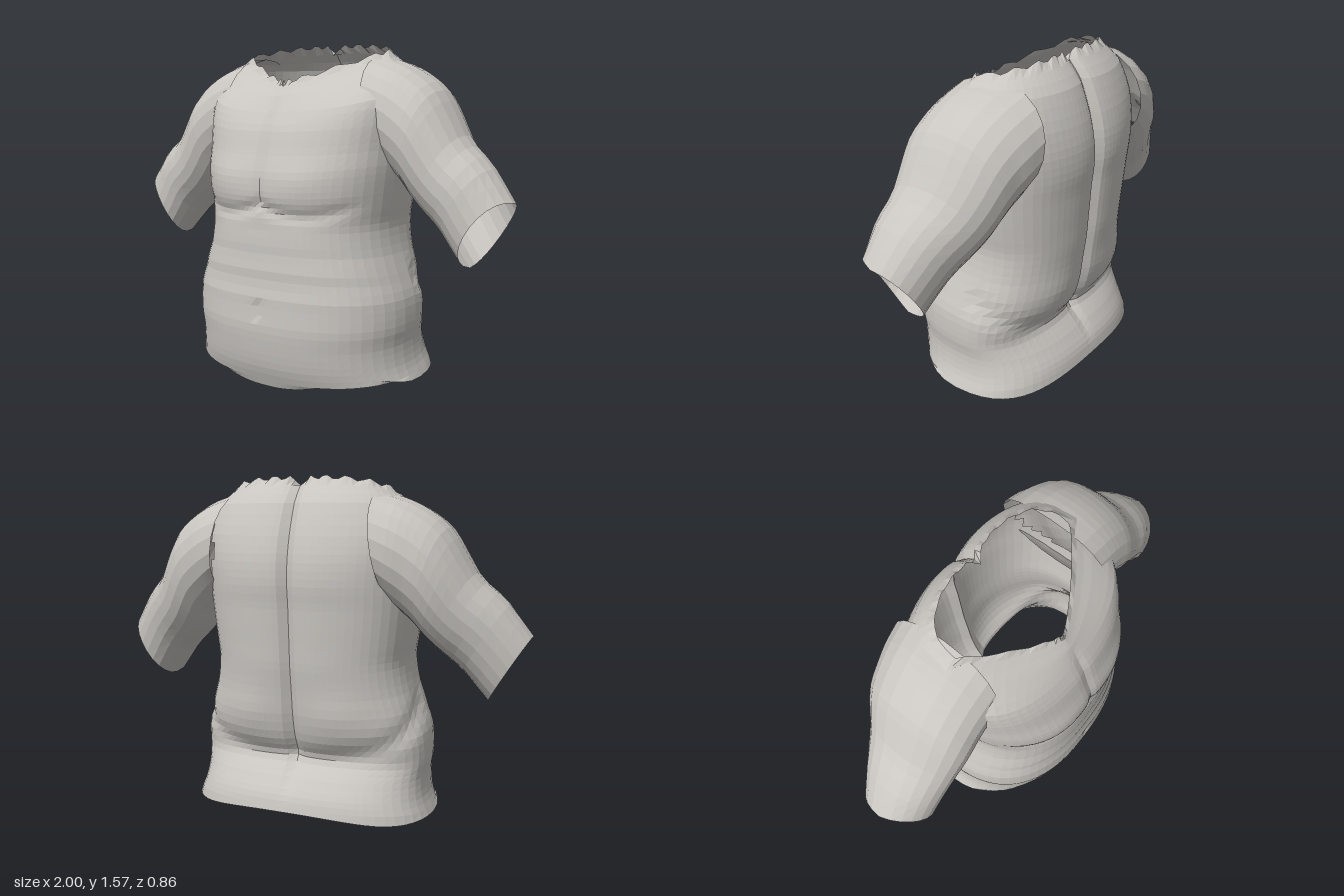
import * as THREE from 'three';

const skin = new THREE.MeshStandardMaterial({ color: 0xc9c6c1, side: THREE.DoubleSide });
skin.name = 'pale grey';

const gauss = (v, width) => Math.exp(-((v / width) ** 2));
const spow = (v, e) => Math.sign(v) * Math.abs(v) ** e;
const smooth = THREE.MathUtils.smoothstep;

// Faceted open shell from rows x columns of points; faces with inHole(centre) are left out
function loft(rows, cols, point, inHole = () => false) {
  const pts = [], idx = [];
  for (let i = 0; i <= rows; i++)
    for (let j = 0; j < cols; j++)
      pts.push(new THREE.Vector3(...point(i / rows, (j / cols) * Math.PI * 2, i, j)));
  for (let i = 0; i < rows; i++)
    for (let j = 0; j < cols; j++) {
      const k = (j + 1) % cols;
      const a = i * cols + j, b = i * cols + k, c = a + cols, d = b + cols;
      if (inHole(pts[a].clone().lerp(pts[d], 0.5))) continue;
      idx.push(a, b, d, a, d, c);
    }
  const g = new THREE.BufferGeometry().setFromPoints(pts);
  g.setIndex(idx);
  const flat = g.toNonIndexed();
  flat.computeVertexNormals();
  return flat;
}

const curve = (pts) => new THREE.CatmullRomCurve3(pts.map((p) => new THREE.Vector3(...p)));

// Torso rings: heights at front, side, back
const heights = curve([
  [0, 0.04, 0.08], [0.1, 0.12, 0.15], [0.2, 0.21, 0.22], [0.3, 0.3, 0.3],
  [0.42, 0.41, 0.38], [0.54, 0.52, 0.5], [0.65, 0.64, 0.62], [0.75, 0.75, 0.74],
  [0.82, 0.83, 0.83], [0.89, 0.91, 0.91], [0.97, 1.0, 1.0], [1.07, 1.1, 1.1],
  [1.17, 1.21, 1.2], [1.25, 1.33, 1.31], [1.32, 1.44, 1.45], [1.38, 1.51, 1.56],
]);
// Torso rings: half width, front depth, back depth
const sizes = curve([
  [0.585, 0.36, -0.43], [0.555, 0.4, -0.41], [0.545, 0.42, -0.365], [0.555, 0.43, -0.315],
  [0.55, 0.425, -0.345], [0.515, 0.415, -0.375], [0.475, 0.41, -0.39], [0.46, 0.405, -0.405],
  [0.47, 0.405, -0.41], [0.48, 0.41, -0.415], [0.49, 0.405, -0.42], [0.495, 0.375, -0.43],
  [0.505, 0.345, -0.425], [0.505, 0.3, -0.4], [0.46, 0.255, -0.345], [0.37, 0.21, -0.25],
]);

function torsoPoint(u, t, i, j) {
  const h = heights.getPoint(u), s = sizes.getPoint(u);
  const a = t - 0.3 * Math.sin(2 * t); // finer columns at the chest line and the spine
  const sn = Math.sin(a), cs = Math.cos(a), front = cs > 0;
  const e = front ? 0.82 + 0.9 * smooth(u, 0.85, 1) : 0.76;
  let x = s.x * spow(sn, e);
  const mid = -0.04;
  let z = mid + ((front ? s.y : s.z) - mid) * Math.abs(cs) ** e;
  let y = front ? h.y + (h.x - h.y) * cs * cs : h.y + (h.z - h.y) * Math.abs(cs);
  const ax = Math.abs(x);

  if (front && cs > 0.1) {
    // chest fold, chest line and navel
    const fold = 0.8 + 1.1 * (ax - 0.2) ** 2;
    z -= 0.014 * gauss(y - fold, 0.03) * (1 - smooth(ax, 0.32, 0.45));
    z += 0.01 * gauss(y - 0.93, 0.1) * gauss(ax - 0.2, 0.13);
    z -= 0.012 * gauss(x, 0.025) * smooth(y, 0.8, 0.88) * (1 - smooth(y, 1.2, 1.33));
    z -= 0.015 * gauss(x, 0.025) * gauss(y - 0.37, 0.025);
    // belly rolls
    z += 0.003 * Math.sin(y * 48) * gauss(y - 0.52, 0.15);
  } else if (!front) {
    // spine groove and the fold under the back muscles
    z += (0.028 * gauss(x, 0.025) + 0.018 * gauss(x, 0.09)) * smooth(y, 0.1, 0.4);
    const crease = gauss(y - (0.32 + 0.22 * (1 - Math.abs(cs))), 0.05);
    x *= 1 - 0.025 * crease;
    z *= 1 - 0.05 * crease;
    z -= 0.012 * gauss(y - 0.5, 0.12) * gauss(ax - 0.22, 0.12);
  }
  // wavy hem and ragged neckline
  if (i === 0) y += 0.06 * Math.sin(2 * a) ** 2 * (front ? 1 : -0.3);
  if (u === 1) y += 0.01 * Math.sin(j * 1.7) - (front ? 0 : 0.035 * gauss(x, 0.03));
  return [x, y, z];
}

// Opening in the torso behind each sleeve
const armHole = (p) =>
  Math.abs(p.x) > 0.36 && ((p.y - 1.22) / 0.19) ** 2 + ((p.z + 0.11) / 0.21) ** 2 < 1;

// Sleeve rings: top edge with front depth, bottom edge with back depth
const armTop = curve([
  [0.34, 1.5, 0.17], [0.46, 1.465, 0.17], [0.55, 1.42, 0.17], [0.64, 1.35, 0.172],
  [0.71, 1.24, 0.165], [0.775, 1.13, 0.155], [0.885, 1.03, 0.15], [1.0, 0.88, 0.14],
]);
const armBottom = curve([
  [0.41, 1.03, -0.39], [0.44, 0.99, -0.38], [0.47, 0.96, -0.365], [0.51, 0.92, -0.35],
  [0.55, 0.87, -0.325], [0.61, 0.81, -0.285], [0.7, 0.73, -0.23], [0.82, 0.585, -0.17],
]);

function armPoint(u, t, side) {
  const top = armTop.getPoint(u), bot = armBottom.getPoint(u);
  const a = t * side, k = (1 + spow(Math.cos(a), 0.95)) / 2;
  const z = (top.z + bot.z) / 2 + ((top.z - bot.z) / 2) * spow(Math.sin(a), 0.9);
  // the open end is cut back a little at the front
  const cut = 0.06 * Math.max(0, Math.sin(a)) * smooth(u, 0.8, 1);
  const x = bot.x + (top.x - bot.x) * k - cut * 0.83;
  const y = bot.y + (top.y - bot.y) * k + cut * 0.55;
  return [x * side, y, z];
}

export function createModel() {
  const model = new THREE.Group();
  model.name = 'torso shell';

  const torso = new THREE.Mesh(loft(44, 72, torsoPoint, armHole), skin);
  torso.name = 'torso';
  model.add(torso);

  for (const side of [1, -1]) {
    const arm = new THREE.Mesh(loft(16, 22, (u, t) => armPoint(u, t, side)), skin);
    arm.name = side > 0 ? 'leftUpperArm' : 'rightUpperArm';
    model.add(arm);
  }
  return model;
}
